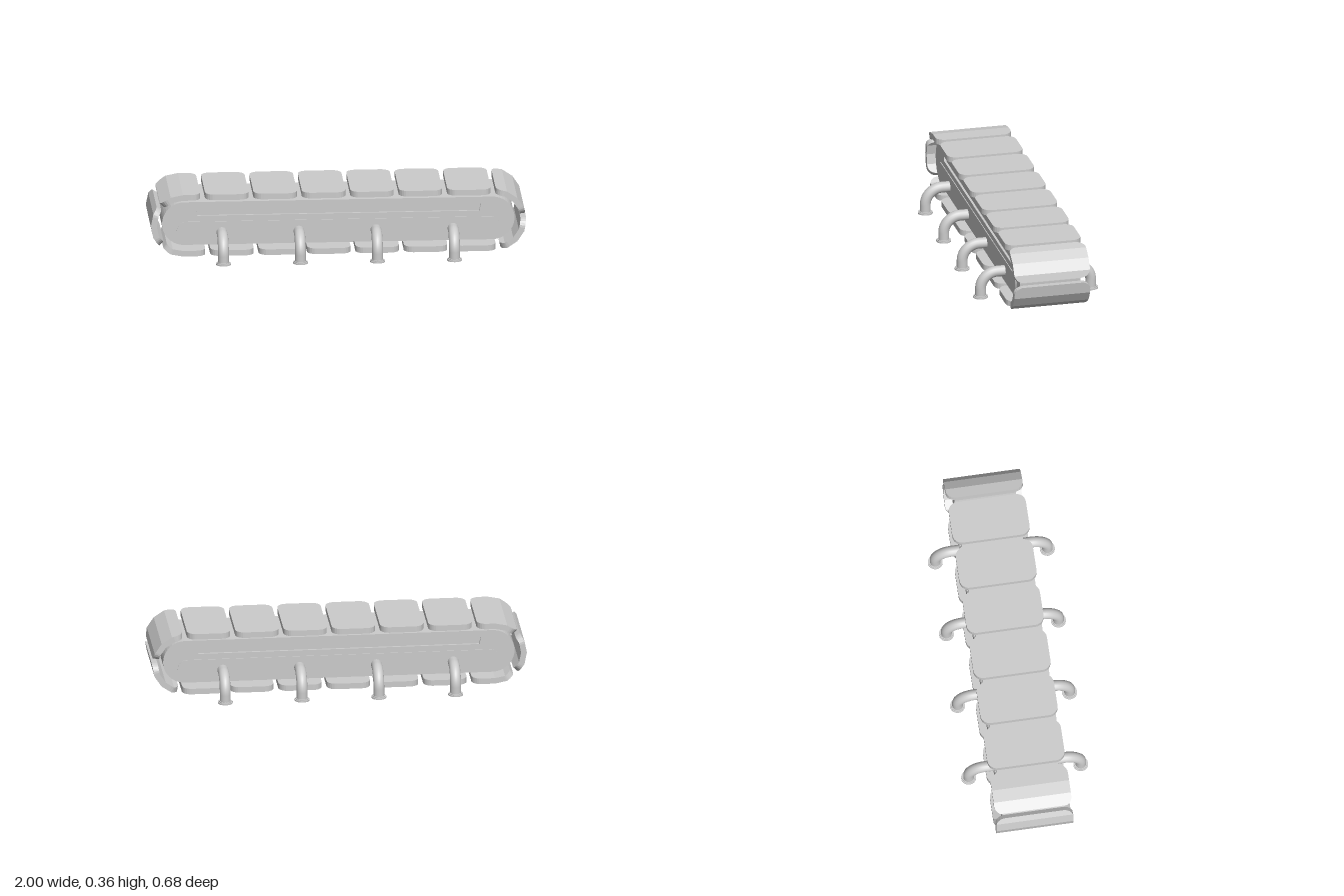
import * as THREE from 'three';

const material = new THREE.MeshStandardMaterial({ color: 0xcccccc, flatShading: true });
const smooth = new THREE.MeshStandardMaterial({ color: 0xcccccc });
const CY = 0.19; // height of the belt axis

function add(parent, name, geometry, mat = material) {
  const mesh = new THREE.Mesh(geometry, mat);
  mesh.name = name;
  parent.add(mesh);
  return mesh;
}

// Stadium outline: straight half length a, radius r, centred at height y
function stadium(a, r, y, Type = THREE.Shape) {
  const s = new Type();
  s.moveTo(-a, y - r);
  s.lineTo(a, y - r);
  s.absarc(a, y, r, -Math.PI / 2, Math.PI / 2, false);
  s.lineTo(-a, y + r);
  s.absarc(-a, y, r, Math.PI / 2, Math.PI * 1.5, false);
  return s;
}

function slab(shape, z0, z1) {
  return new THREE.ExtrudeGeometry(shape, { depth: z1 - z0, bevelEnabled: false, curveSegments: 10 })
    .translate(0, 0, z0);
}

// Belt track: a faceted loop, clockwise from the right end of the top run
const R = 0.17, THICK = 0.031, END = 0.83, ARC = 8, COUNT = 17;
const track = [];
for (const side of [1, -1]) {
  for (let i = 0; i <= ARC; i++) {
    const t = (i / ARC) * Math.PI;
    track.push({ cx: side * END, nx: side * Math.sin(t), ny: side * Math.cos(t) });
  }
}
track.push(track[0]);
const at = (k, r) => new THREE.Vector2(k.cx + k.nx * r, CY + k.ny * r);
const lengths = [0];
for (let i = 1; i < track.length; i++) {
  lengths.push(lengths[i - 1] + at(track[i], R).distanceTo(at(track[i - 1], R)));
}
const TOTAL = lengths[lengths.length - 1];

function trackPoint(s, r) {
  s = ((s % TOTAL) + TOTAL) % TOTAL;
  let i = 0;
  while (i < track.length - 2 && s > lengths[i + 1]) i++;
  const f = (s - lengths[i]) / (lengths[i + 1] - lengths[i]);
  return at(track[i], r).lerp(at(track[i + 1], r), f);
}

// One belt plate with rounded corners, bent along the track from s0 to s1
function plateGeometry(s0, s1) {
  const W = 0.207, C = 0.05, stops = [];
  for (let i = 0; i <= 6; i++) {
    const d = C * (1 - Math.cos((i / 6) * Math.PI / 2));
    stops.push(s0 + d, s1 - d);
  }
  for (const l of lengths) {
    for (const s of [l, l - TOTAL]) if (s > s0 && s < s1) stops.push(s);
  }
  stops.sort((a, b) => a - b);
  const pos = [], index = [];
  stops.forEach((s, n) => {
    const d = Math.max(0, C - Math.min(s - s0, s1 - s));
    const w = W - C + Math.sqrt(Math.max(0, C * C - d * d));
    const o = trackPoint(s, R), i = trackPoint(s, R - THICK);
    pos.push(o.x, o.y, w, o.x, o.y, -w, i.x, i.y, -w, i.x, i.y, w);
    if (!n) return;
    const b = n * 4, a = b - 4;
    for (let k = 0; k < 4; k++) {
      const m = (k + 1) % 4;
      index.push(a + k, b + k, b + m, a + k, b + m, a + m);
    }
  });
  const e = pos.length / 3 - 4;
  index.push(0, 1, 2, 0, 2, 3, e, e + 2, e + 1, e, e + 3, e + 2);
  const g = new THREE.BufferGeometry();
  g.setAttribute('position', new THREE.Float32BufferAttribute(pos, 3));
  g.setIndex(index);
  const flat = g.toNonIndexed();
  flat.computeVertexNormals();
  return flat;
}

// Bent pipe leg with a stepped foot
function makeLeg() {
  const leg = new THREE.Group();
  leg.name = 'leg';
  const path = new THREE.CurvePath();
  const v = (y, z) => new THREE.Vector3(0, y, z);
  const k = 0.09 * 0.5523;
  path.add(new THREE.LineCurve3(v(0.139, 0.15), v(0.139, 0.21)));
  path.add(new THREE.CubicBezierCurve3(v(0.139, 0.21), v(0.139, 0.21 + k), v(0.049 + k, 0.3), v(0.049, 0.3)));
  path.add(new THREE.LineCurve3(v(0.049, 0.3), v(0.004, 0.3)));
  add(leg, 'legPipe', new THREE.TubeGeometry(path, 28, 0.029, 16, false), smooth);
  add(leg, 'footFlange', new THREE.CylinderGeometry(0.04, 0.04, 0.008, 20)).position.set(0, 0.004, 0.3);
  add(leg, 'footCollar', new THREE.CylinderGeometry(0.034, 0.034, 0.013, 20)).position.set(0, 0.0065, 0.3);
  return leg;
}

// Side cover, slot, raised rail and legs of one long side
function makeSide() {
  const side = new THREE.Group();
  const cover = stadium(0.82, 0.118, CY);
  const slot = new THREE.Path();
  slot.moveTo(-0.76, 0.27);
  slot.lineTo(0.76, 0.27);
  slot.lineTo(0.75, 0.232);
  slot.lineTo(-0.75, 0.232);
  slot.closePath();
  cover.holes.push(slot);
  add(side, 'sideCover', slab(cover, 0.153, 0.165));
  add(side, 'lowerRail', slab(stadium(0.81, 0.05, 0.15), 0.16, 0.169));
  for (let i = 0; i < 4; i++) {
    const leg = makeLeg();
    leg.position.x = -0.62 + i * 0.41;
    side.add(leg);
  }
  return side;
}

export function createModel() {
  const model = new THREE.Group();
  model.name = 'conveyor';

  add(model, 'bodyCore', slab(stadium(0.82, 0.118, CY), -0.153, 0.153));

  const front = makeSide();
  front.name = 'frontSide';
  const back = makeSide();
  back.name = 'backSide';
  back.rotation.y = Math.PI;
  model.add(front, back);

  // Belt plates with even gaps all round
  const belt = new THREE.Group();
  belt.name = 'belt';
  const pitch = TOTAL / COUNT, gap = 0.026, start = -0.006;
  for (let i = 0; i < COUNT; i++) {
    const s = start + i * pitch;
    add(belt, 'beltPlate', plateGeometry(s + gap / 2, s + pitch - gap / 2));
  }
  model.add(belt);
  return model;
}
